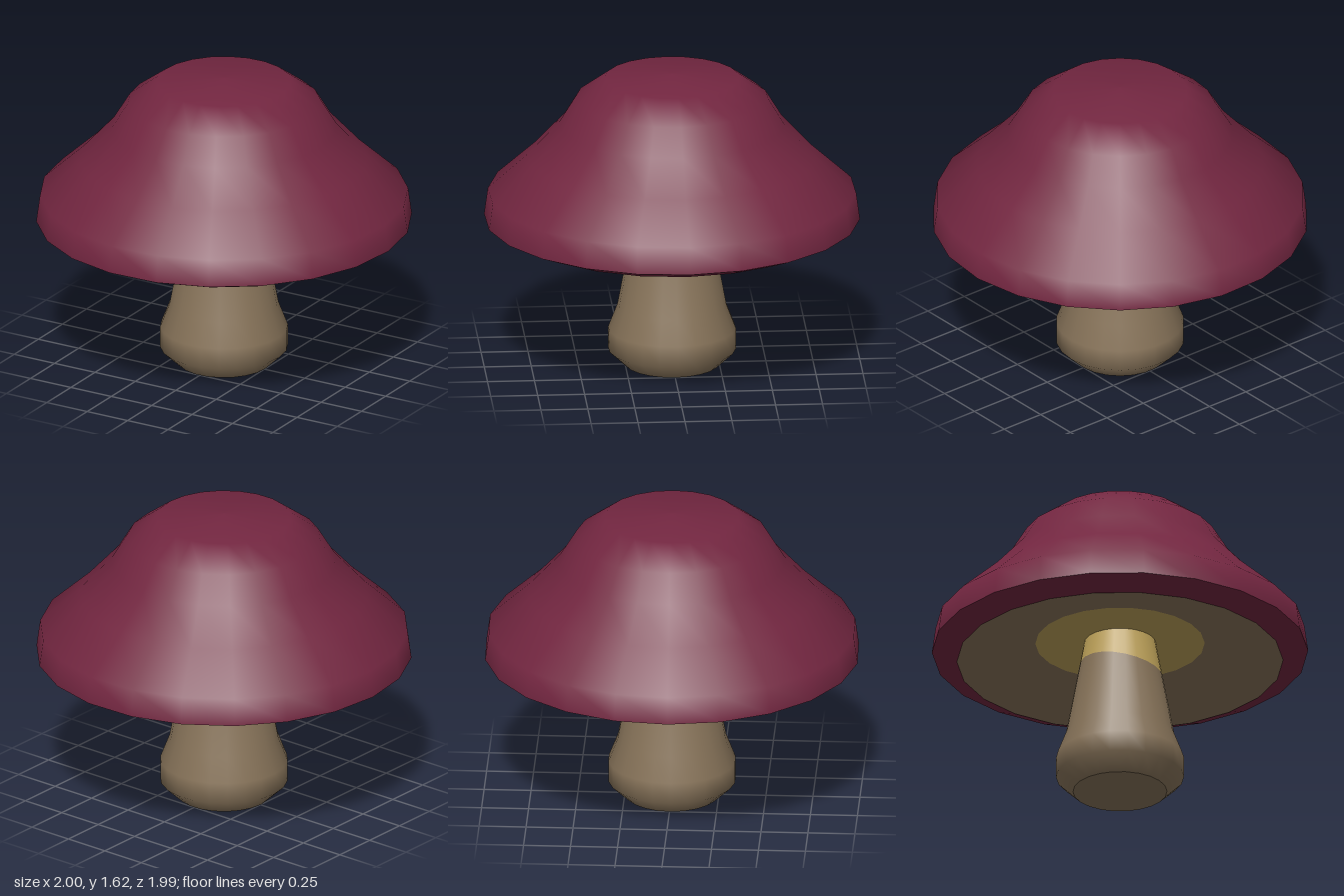
import * as THREE from 'three';

const SIDES = 22;
const START = THREE.MathUtils.degToRad(9.8); // turn of the polygonal outline

const mat = (name, color) => {
  const m = new THREE.MeshStandardMaterial({ color });
  m.name = name;
  return m;
};

// Revolved surface; profile points run from the bottom axis outward and up
function revolve(name, profile, material) {
  const points = profile.map(([r, y]) => new THREE.Vector2(r, y));
  const mesh = new THREE.Mesh(new THREE.LatheGeometry(points, SIDES, START), material);
  mesh.name = name;
  return mesh;
}

// Height of the uneven line where the stem changes colour
const LINE = 0.67;
const stemRadius = (y) => 0.2275 - (y - LINE) * 0.184;

// Lifts the ring of vertices on the colour line, higher toward -x
function waveLine(mesh) {
  const p = mesh.geometry.attributes.position;
  for (let i = 0; i < p.count; i++) {
    if (Math.abs(p.getY(i) - LINE) > 0.001) continue;
    const a = Math.atan2(p.getZ(i), p.getX(i));
    const y = LINE + 0.07 * Math.pow((1 - Math.cos(a)) / 2, 1.8);
    p.setXYZ(i, Math.cos(a) * stemRadius(y), y, Math.sin(a) * stemRadius(y));
  }
  return mesh;
}

export function createModel() {
  const red = mat('cap red', 0x722640);
  const brown = mat('stem brown', 0x88745a);
  const yellow = mat('collar yellow', 0xbfa35a);

  const cap = new THREE.Group();
  cap.name = 'cap';
  cap.add(
    // Domed top with a flared skirt
    revolve('capTop', [
      [1.0, 0.82], [0.98, 0.965], [0.765, 1.16], [0.6, 1.34],
      [0.512, 1.485], [0.358, 1.597], [0, 1.62],
    ], red),
    // Bevelled lip under the rim
    revolve('capLip', [[0.867, 0.765], [1.0, 0.82]], red),
    // Hollowed underside
    revolve('capUnderside', [[0.45, 0.868], [0.867, 0.765]], brown),
    revolve('undersideRing', [[0, 0.868], [0.45, 0.868]], yellow),
  );

  const stem = new THREE.Group();
  stem.name = 'stem';
  stem.add(
    revolve('stemBase', [[0, 0], [0.25, 0]], brown),
    waveLine(revolve('stemBody', [
      [0.25, 0], [0.34, 0.085], [0.34, 0.2], [0.29, 0.33], [stemRadius(LINE), LINE],
    ], brown)),
    waveLine(revolve('stemCollar', [
      [stemRadius(LINE), LINE], [stemRadius(0.868), 0.868],
    ], yellow)),
  );

  const model = new THREE.Group();
  model.name = 'mushroom';
  model.add(cap, stem);
  return model;
}
